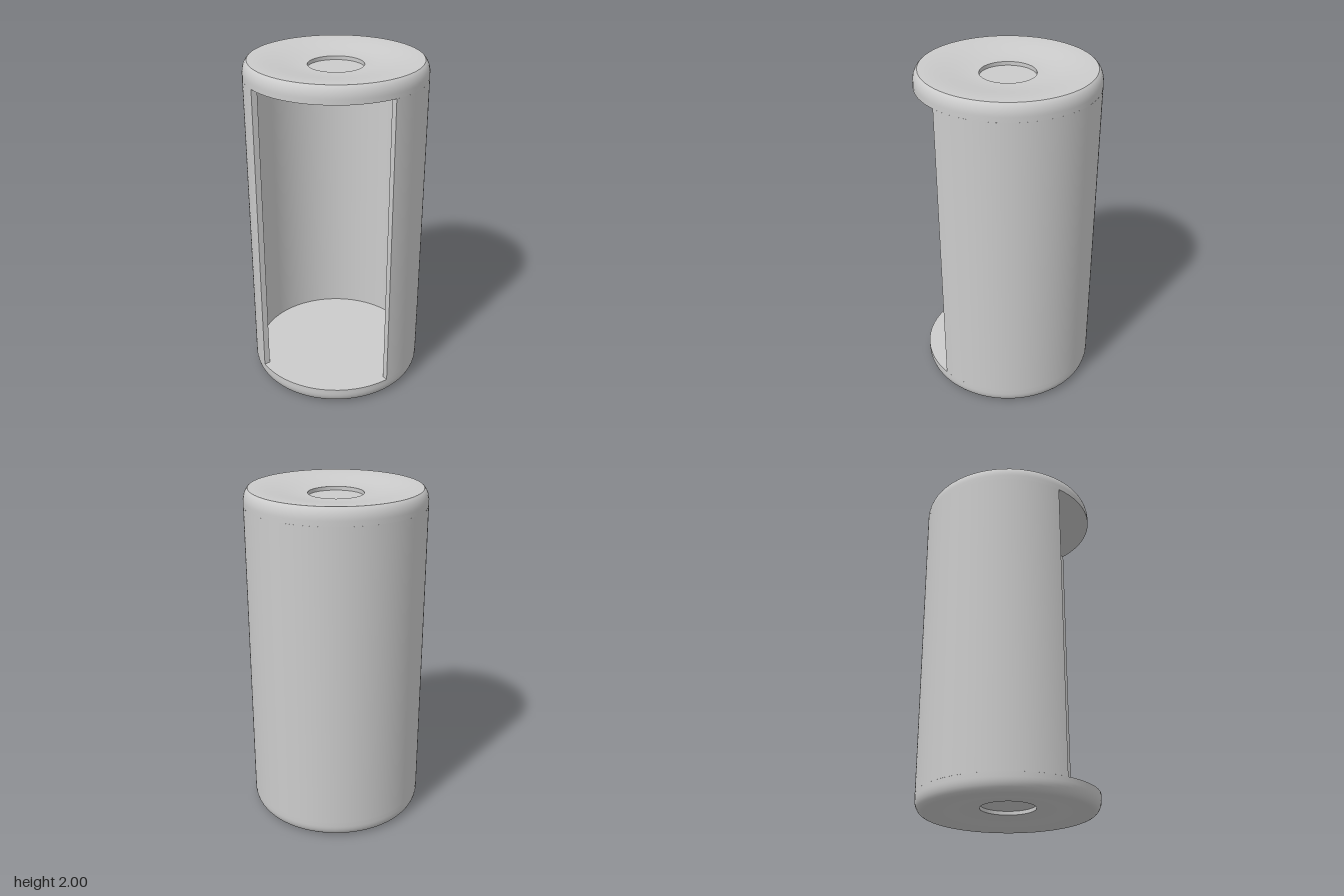
import * as THREE from 'three';
import { toCreasedNormals } from 'three/addons/utils/BufferGeometryUtils.js';

const R = 0.523;        // outer radius
const INNER = 0.488;    // inner radius of the shell
const LID = 0.098;      // thickness of each end cap
const SEGMENTS = 64;
const CREASE = 0.4;

const material = new THREE.MeshStandardMaterial({ color: 0xcccccc });

// End cap standing on y = 0: rounded rim, dished face and a shallow round recess.
// A rim sweep below 90 degrees leaves a sharp edge around the face.
function capGeometry(sweepDegrees) {
  const rimX = 0.047, rimY = 0.07;
  const holeR = 0.16, holeDepth = 0.022, dishDepth = 0.036;
  const sweep = THREE.MathUtils.degToRad(sweepDegrees);
  const profile = [new THREE.Vector2(0, 0), new THREE.Vector2(R, 0)];

  // Rim
  for (let i = 0; i <= 8; i++) {
    const a = (i / 8) * sweep;
    profile.push(new THREE.Vector2(
      R - rimX + rimX * Math.cos(a),
      LID - rimY + rimY * Math.sin(a) / Math.sin(sweep),
    ));
  }

  // Dished face, sinking smoothly towards the recess
  const faceR = profile[profile.length - 1].x;
  for (let i = 1; i <= 12; i++) {
    const t = i / 12;
    profile.push(new THREE.Vector2(
      THREE.MathUtils.lerp(faceR, holeR, t),
      LID - dishDepth * THREE.MathUtils.smoothstep(t, 0, 1),
    ));
  }

  // Recess
  const recessY = LID - dishDepth - holeDepth;
  profile.push(new THREE.Vector2(holeR, recessY), new THREE.Vector2(0, recessY));
  return toCreasedNormals(new THREE.LatheGeometry(profile, SEGMENTS), CREASE);
}

// Curved wall, open at the front
function shellGeometry() {
  const start = THREE.MathUtils.degToRad(46 - 90);
  const end = THREE.MathUtils.degToRad(360 - 50 - 90);
  const shape = new THREE.Shape();
  shape.absarc(0, 0, R, start, end, false);
  shape.absarc(0, 0, INNER, end, start, true);
  shape.closePath();
  const geometry = new THREE.ExtrudeGeometry(shape, {
    depth: 2 - 2 * LID, bevelEnabled: false, curveSegments: 48,
  });
  geometry.rotateX(-Math.PI / 2);
  return toCreasedNormals(geometry, CREASE);
}

export function createModel() {
  const model = new THREE.Group();
  model.name = 'openCanister';

  const add = (name, geometry, y) => {
    const mesh = new THREE.Mesh(geometry, material);
    mesh.name = name;
    mesh.position.y = y;
    model.add(mesh);
    return mesh;
  };

  add('shell', shellGeometry(), LID);
  add('topCap', capGeometry(65), 2 - LID);
  add('bottomCap', capGeometry(90), LID).rotation.x = Math.PI;

  return model;
}
